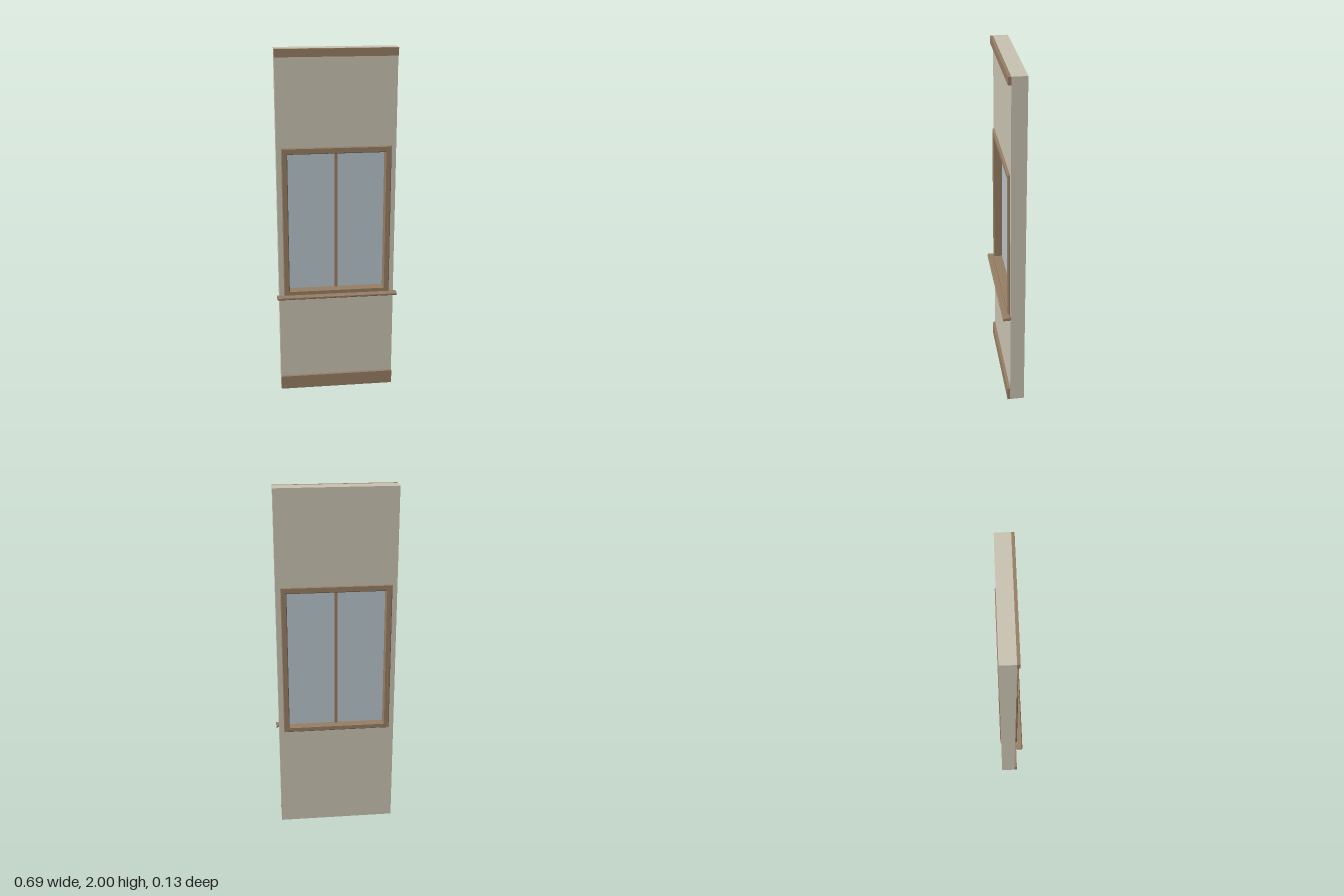
import * as THREE from 'three';

const wallMat = new THREE.MeshStandardMaterial({ name: 'plaster', color: 0xc9c3b2 });
const woodMat = new THREE.MeshStandardMaterial({ name: 'wood', color: 0x977e64 });
const barMat = new THREE.MeshStandardMaterial({ name: 'lightWood', color: 0xa07c5e });
const glassMat = new THREE.MeshStandardMaterial({ name: 'glass', color: 0xb7c4ca });

// Rectangle outline from its edges
function rect(Type, x0, x1, y0, y1) {
  const r = new Type();
  r.moveTo(x0, y0);
  r.lineTo(x1, y0);
  r.lineTo(x1, y1);
  r.lineTo(x0, y1);
  r.closePath();
  return r;
}

// Slab between z0 and z1, with an optional opening and chamfered edges
function slab(name, mat, [x0, x1, y0, y1], z0, z1, hole = null, bevel = 0) {
  const b = bevel;
  const shape = rect(THREE.Shape, x0 + b, x1 - b, y0 + b, y1 - b);
  if (hole) {
    const [hx0, hx1, hy0, hy1] = hole;
    shape.holes.push(rect(THREE.Path, hx0 - b, hx1 + b, hy0 - b, hy1 + b));
  }
  const geo = new THREE.ExtrudeGeometry(shape, {
    depth: z1 - z0 - 2 * b,
    bevelEnabled: b > 0,
    bevelSize: b,
    bevelThickness: b,
    bevelSegments: 1,
  });
  geo.translate(0, 0, z0 + b);
  const mesh = new THREE.Mesh(geo, mat);
  mesh.name = name;
  return mesh;
}

export function createModel() {
  const group = new THREE.Group();
  group.name = 'windowWall';
  const W = 0.332;

  // Wall panel with window opening
  group.add(slab('wall', wallMat, [-W, W, 0, 2], -0.062, 0.02, [-0.29, 0.29, 0.61, 1.45]));

  // Trim boards along floor and ceiling
  group.add(slab('baseboard', woodMat, [-W, W, 0, 0.08], 0.02, 0.036));
  group.add(slab('crownTrim', woodMat, [-W, W, 1.957, 2], 0.02, 0.036));

  // Window frame running through the wall, and the sill on the front
  group.add(slab('windowFrame', woodMat, [-0.305, 0.305, 0.597, 1.467], -0.067, 0.032,
    [-0.272, 0.272, 0.627, 1.432], 0.004));
  group.add(slab('windowSill', woodMat, [-0.346, 0.346, 0.586, 0.602], 0.02, 0.064, null, 0.004));

  // Glass pane and centre bar
  group.add(slab('glassPane', glassMat, [-0.274, 0.274, 0.625, 1.434], -0.022, -0.018));
  group.add(slab('centreBar', barMat, [-0.008, 0.008, 0.626, 1.433], -0.03, -0.01));

  return group;
}
